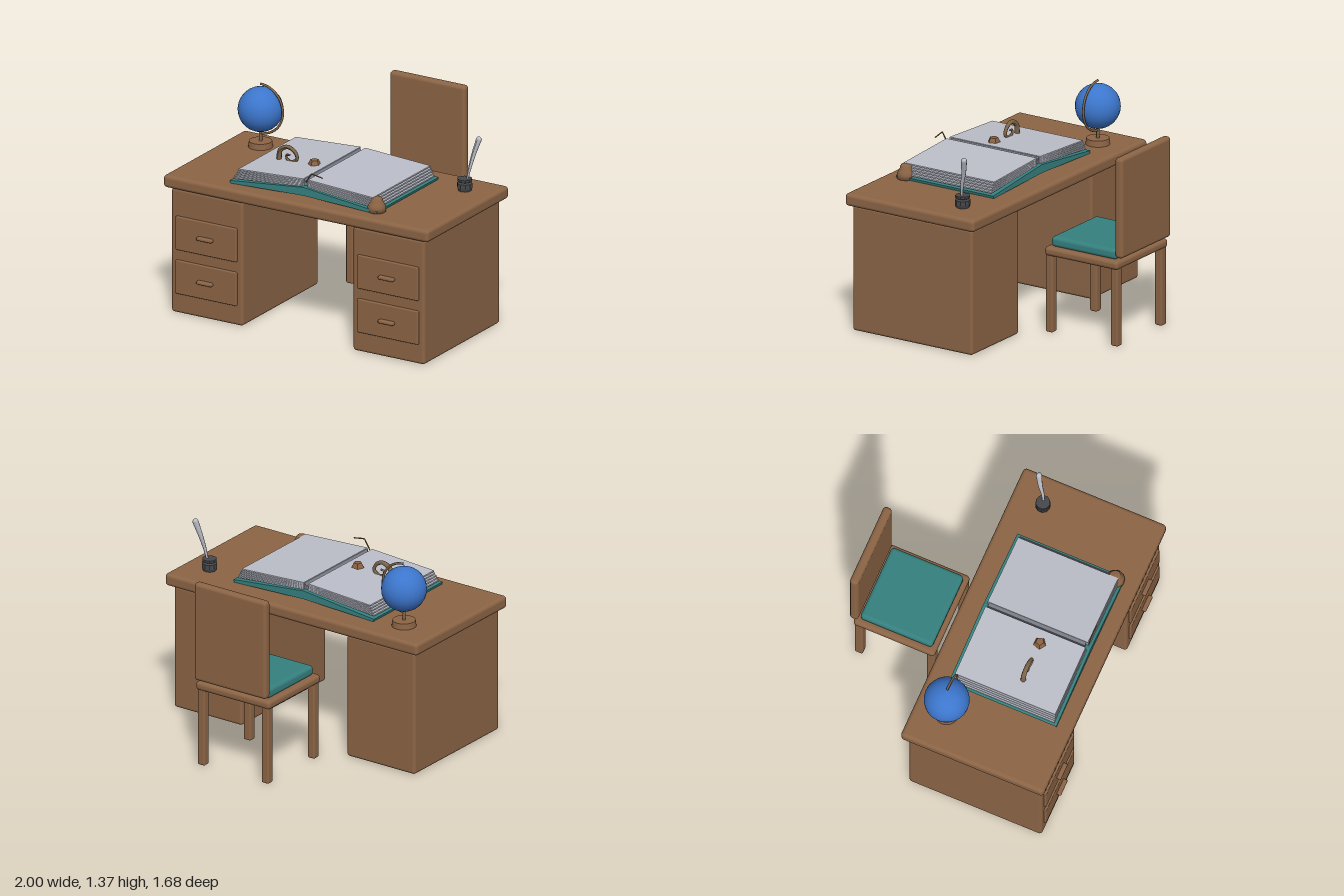
import * as THREE from 'three';
import { RoundedBoxGeometry } from 'three/addons/geometries/RoundedBoxGeometry.js';

const mat = (name, color, extra = {}) => {
  const m = new THREE.MeshStandardMaterial({ color, ...extra });
  m.name = name;
  return m;
};

export function createModel() {
  const wood = mat('wood', 0x8b6445);
  const teal = mat('teal', 0x35807f);
  const paper = mat('paper', 0xbbbdc8);
  const shade = mat('paper shade', 0x777a84);
  const blue = mat('globe blue', 0x3c76cc);
  const bronze = mat('bronze', 0x7d6549);
  const ink = mat('ink grey', 0x47484c);
  const model = new THREE.Group();
  model.name = 'writingDesk';

  const add = (name, geo, material, x = 0, y = 0, z = 0, parent = model) => {
    const m = new THREE.Mesh(geo, material);
    m.name = name;
    m.position.set(x, y, z);
    parent.add(m);
    return m;
  };
  // Rounded box given by its extents
  const box = (name, material, [x0, x1], [y0, y1], [z0, z1], r, parent) =>
    add(name, new RoundedBoxGeometry(x1 - x0, y1 - y0, z1 - z0, 3, r), material,
      (x0 + x1) / 2, (y0 + y1) / 2, (z0 + z1) / 2, parent);
  // Outline in x/y pulled along z
  const prism = (name, material, pts, z0, z1, parent) =>
    add(name, new THREE.ExtrudeGeometry(new THREE.Shape(pts.map(p => new THREE.Vector2(...p))),
      { depth: z1 - z0, bevelEnabled: false }), material, 0, 0, z0, parent);
  // Tube whose radius follows radius(t), closed by end caps
  const taper = (name, material, pts, radius, steps, sides, parent) => {
    const curve = new THREE.CatmullRomCurve3(pts.map(p => new THREE.Vector3(...p)));
    const geo = new THREE.TubeGeometry(curve, steps, 1, sides);
    const pos = geo.attributes.position, v = new THREE.Vector3();
    for (let i = 0; i < pos.count; i++) {
      const t = Math.floor(i / (sides + 1)) / steps;
      const c = curve.getPointAt(t);
      v.fromBufferAttribute(pos, i).sub(c).multiplyScalar(radius(t)).add(c);
      pos.setXYZ(i, v.x, v.y, v.z);
    }
    geo.computeVertexNormals();
    const tube = add(name, geo, material, 0, 0, 0, parent);
    for (const t of [0, 1]) {
      const cap = add(name + 'End', new THREE.SphereGeometry(radius(t), sides, 6), material, 0, 0, 0, parent);
      cap.position.copy(curve.getPointAt(t));
    }
    return tube;
  };
  const group = name => {
    const g = new THREE.Group();
    g.name = name;
    model.add(g);
    return g;
  };

  // Desk: top, two pedestals, drawers and pulls
  const desk = group('desk');
  box('deskTop', wood, [-1, 1], [0.85, 0.935], [-0.17, 0.83], 0.025, desk);
  for (const s of [-1, 1]) {
    const cx = s * 0.685;
    box('pedestal', wood, [cx - 0.27, cx + 0.27], [0, 0.85], [-0.13, 0.8], 0.02, desk);
    for (const y of [0.25, 0.55]) {
      box('drawerFront', wood, [cx - 0.23, cx + 0.23], [y - 0.115, y + 0.115], [0.78, 0.815], 0.008, desk);
      box('drawerPull', wood, [cx - 0.058, cx + 0.058], [y - 0.012, y + 0.012], [0.805, 0.843], 0.01, desk);
    }
  }

  // Chair: seat, cushion, back panel, legs
  const chair = group('chair');
  box('seat', wood, [-0.295, 0.295], [0.52, 0.58], [-0.81, -0.24], 0.024, chair);
  box('cushion', teal, [-0.26, 0.26], [0.575, 0.645], [-0.775, -0.27], 0.025, chair);
  box('chairBack', wood, [-0.285, 0.285], [0.6, 1.28], [-0.84, -0.78], 0.024, chair);
  for (const x of [-0.253, 0.253]) for (const z of [-0.27, -0.775])
    box('chairLeg', wood, [x - 0.028, x + 0.028], [0, 0.54], [z - 0.028, z + 0.028], 0.012, chair);

  // Globe: base, stem, ball and half-ring arm
  const globe = group('globe');
  const gx = -0.745, gz = 0.045;
  add('globeBase', new THREE.CylinderGeometry(0.075, 0.08, 0.04, 24), wood, gx, 0.955, gz, globe);
  add('globeStem', new THREE.CylinderGeometry(0.011, 0.011, 0.1, 10), bronze, gx, 1.01, gz, globe);
  add('globeBall', new THREE.SphereGeometry(0.148, 24, 16), blue, gx, 1.19, gz, globe);
  const arm = add('globeArm', new THREE.TorusGeometry(0.168, 0.008, 8, 28, Math.PI), bronze, gx, 1.195, gz, globe);
  arm.rotation.z = -Math.PI / 2;

  // Open book: sloping covers and stepped page layers on both sides of a gutter
  const book = group('openBook');
  for (const s of [-1, 1]) {
    const half = pts => s > 0 ? pts : pts.map(([x, y]) => [-x, y]).reverse();
    prism('cover', teal, half([[0, 0.955], [0.55, 0.935], [0.556, 0.953], [0, 1.012]]), -0.025, 0.73, book);
    prism('pageBlock', shade, half([[0, 1.0], [0.5, 0.95], [0.49, 1.025], [0.02, 1.055], [0, 1.03]]), 0.01, 0.69, book);
    for (let i = 0; i < 5; i++) {
      const yo = 0.962 + 0.015 * i, yi = 1.009 + 0.01 * i, xo = 0.54 - 0.008 * i;
      prism('pageLayer', paper, half([[0.018, yi], [xo, yo], [xo, yo + 0.009], [0.018, yi + 0.009]]),
        0, 0.71 - 0.002 * i, book);
    }
  }

  // Curled horn, stone and bent wire lying on the book
  const items = group('bookOrnaments');
  taper('curledHorn', bronze, [[-0.375, 1.045, 0.42], [-0.365, 1.1, 0.42], [-0.31, 1.132, 0.42], [-0.255, 1.108, 0.42],
    [-0.238, 1.065, 0.42], [-0.27, 1.04, 0.42], [-0.31, 1.045, 0.42], [-0.318, 1.075, 0.42], [-0.295, 1.08, 0.42]],
    t => 0.018 - 0.011 * t, 40, 8, items);
  const stone = add('stone', new THREE.CylinderGeometry(0.028, 0.046, 0.04, 5), wood, -0.107, 1.064, 0.42, items);
  stone.geometry = stone.geometry.toNonIndexed();
  stone.geometry.computeVertexNormals();
  const wire = [[0.01, 1.045], [0.05, 1.108], [0.075, 1.105], [0.132, 1.095]];
  for (let i = 0; i < 3; i++)
    taper('bentWire', bronze, [[...wire[i], 0.712], [...wire[i + 1], 0.712]], () => 0.004, 2, 6, items);

  // Paperweight at the book corner
  add('paperweight', new THREE.LatheGeometry([[0, 0.93], [0.06, 0.93], [0.06, 0.965], [0.052, 0.985], [0.042, 1.0],
    [0.038, 1.018], [0.03, 1.028], [0, 1.03]].map(p => new THREE.Vector2(...p)), 20), wood, 0.52, 0, 0.675);

  // Inkwell and quill
  const well = group('inkwell');
  const flat = new THREE.LatheGeometry([[0, 0.93], [0.042, 0.93], [0.05, 0.955], [0.05, 0.985], [0.04, 0.995],
    [0.048, 1.0], [0.048, 1.015], [0, 1.015]].map(p => new THREE.Vector2(...p)), 10).toNonIndexed();
  flat.computeVertexNormals();
  add('inkPot', flat, ink, 0.798, 0, 0.048, well);
  taper('quill', paper, [[0.812, 1.0, 0.045], [0.826, 1.08, 0.035], [0.843, 1.18, 0.01], [0.868, 1.275, -0.01]],
    t => 0.007 + 0.013 * t, 16, 8, well);

  return model;
}
